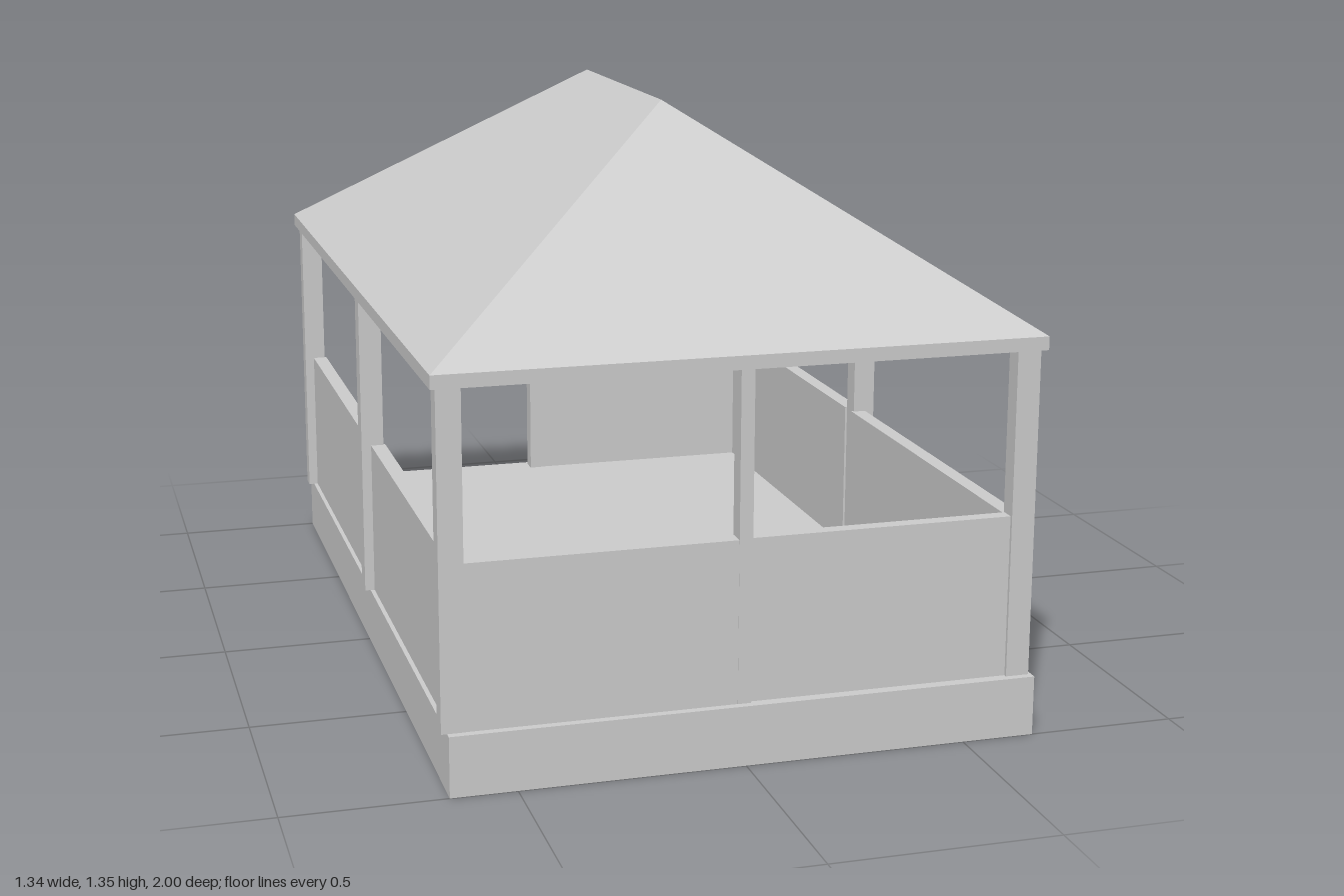
import * as THREE from 'three';

const material = new THREE.MeshStandardMaterial({ color: 0xcccccc, flatShading: true });
const shellMaterial = new THREE.MeshStandardMaterial({
  color: 0xcccccc, flatShading: true, side: THREE.DoubleSide,
});

// Open-bottomed shell through rectangular rings [halfX, halfZ, y]; optionally capped on top.
function rectShell(name, rings, capped) {
  const corners = rings.map(([x, z, y]) =>
    [[1, 1], [1, -1], [-1, -1], [-1, 1]].map(([sx, sz]) => new THREE.Vector3(sx * x, y, sz * z)));
  const points = [];
  const triangle = (a, b, c) => {
    if (!a.equals(b) && !b.equals(c) && !c.equals(a)) points.push(a, b, c);
  };
  for (let r = 0; r < corners.length - 1; r++) {
    const low = corners[r], high = corners[r + 1];
    for (let i = 0; i < 4; i++) {
      const j = (i + 1) % 4;
      triangle(low[i], low[j], high[j]);
      triangle(low[i], high[j], high[i]);
    }
  }
  if (capped) {
    const top = corners[corners.length - 1];
    triangle(top[0], top[1], top[2]);
    triangle(top[0], top[2], top[3]);
  }
  const geometry = new THREE.BufferGeometry().setFromPoints(points);
  geometry.computeVertexNormals();
  const mesh = new THREE.Mesh(geometry, shellMaterial);
  mesh.name = name;
  return mesh;
}

// Box given by its extents along each axis.
function block(name, [x0, x1], [y0, y1], [z0, z1]) {
  const mesh = new THREE.Mesh(new THREE.BoxGeometry(x1 - x0, y1 - y0, z1 - z0), material);
  mesh.position.set((x0 + x1) / 2, (y0 + y1) / 2, (z0 + z1) / 2);
  mesh.name = name;
  return mesh;
}

export function createModel() {
  const model = new THREE.Group();
  model.name = 'pavilion';
  const floorY = 0.135, eaveY = 0.87, railY = 0.5;

  // Raised deck, hollow underneath
  const deck = rectShell('deck', [[0.655, 1, 0], [0.655, 1, floorY]], true);
  deck.position.x = 0.01;
  model.add(deck);

  // Hipped roof with a thin fascia, open below
  model.add(rectShell('hippedRoof',
    [[0.67, 0.995, eaveY], [0.67, 0.995, 0.9], [0, 0.335, 1.35]], false));

  const postY = [floorY, eaveY], panelY = [floorY, railY];
  const mirrored = (s, a, b) => (s > 0 ? [a, b] : [-b, -a]);

  for (const s of [1, -1]) {
    // Corner posts and the post halfway along each long side
    for (const t of [1, -1]) {
      model.add(block('cornerPost', mirrored(s, 0.605, 0.658), postY, mirrored(t, 0.94, 0.983)));
    }
    model.add(block('sidePost', mirrored(s, 0.605, 0.658), postY, [-0.02, 0.028]));

    // Post halfway along each short end
    model.add(block('endPost', [-0.015, 0.015], postY, mirrored(s, 0.94, 0.983)));

    // Low side panels, set back from the post faces
    for (const t of [1, -1]) {
      model.add(block('sidePanel', mirrored(s, 0.6, 0.635), panelY, mirrored(t, 0.02, 0.945)));
    }

    // Low front panels
    model.add(block('frontPanel', mirrored(s, 0.01, 0.61), panelY, [0.943, s > 0 ? 0.975 : 0.982]));
  }

  // One low back panel; the other half is the entrance
  model.add(block('backPanel', [0.01, 0.61], panelY, [-0.972, -0.943]));

  return model;
}
